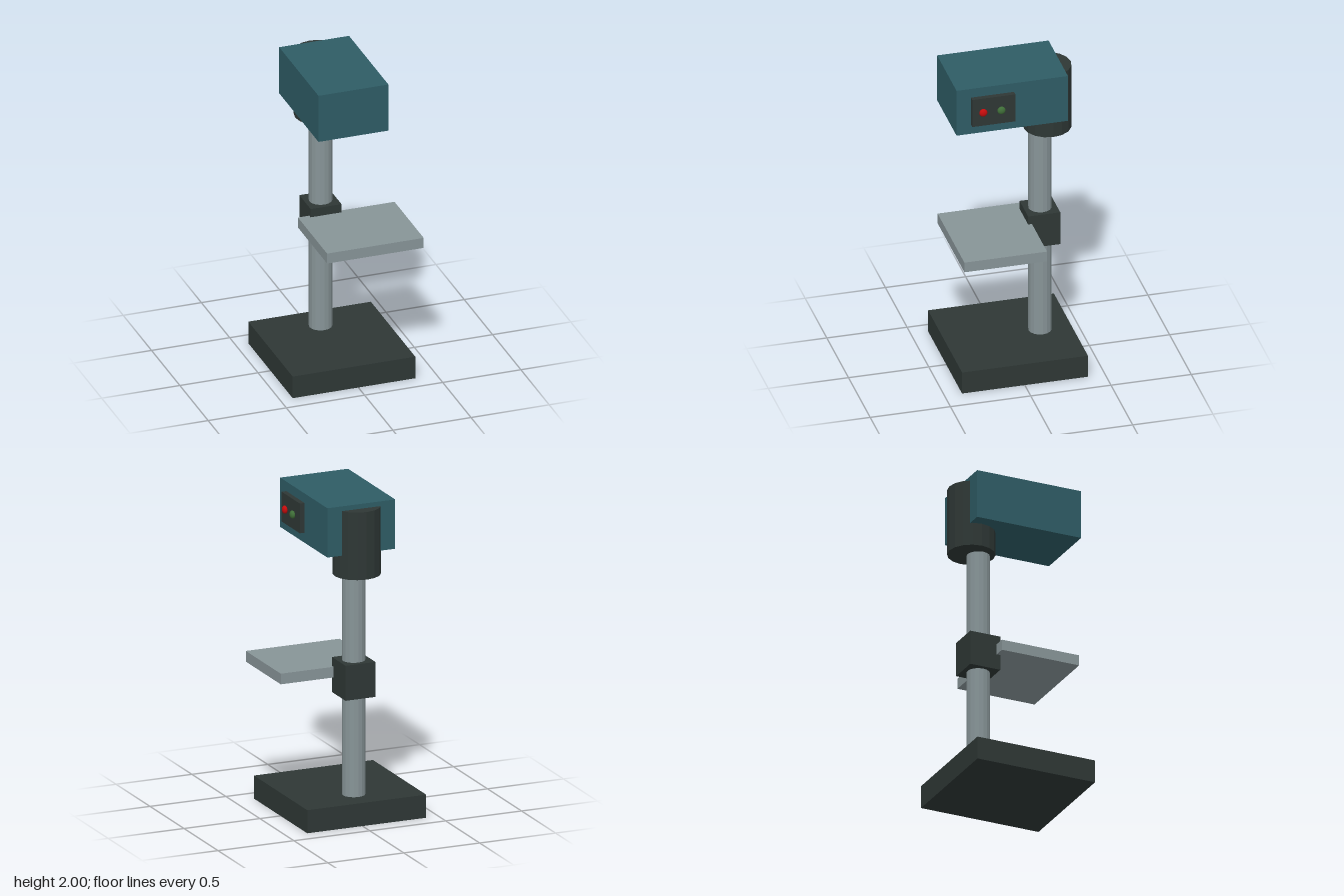
import * as THREE from 'three';

const material = (name, color, flatShading = false) => {
  const m = new THREE.MeshStandardMaterial({ color, flatShading });
  m.name = name;
  return m;
};

export function createModel() {
  const model = new THREE.Group();
  model.name = 'drillPress';

  const darkIron = material('dark iron', 0x2e3735, true);
  const teal = material('teal paint', 0x2e5c65);
  const steel = material('steel', 0x879497, true);
  const red = material('red', 0xc40c0c);
  const green = material('green', 0x3f6e38);

  const add = (name, geometry, mat) => {
    const mesh = new THREE.Mesh(geometry, mat);
    mesh.name = name;
    model.add(mesh);
    return mesh;
  };

  // Box given by its limits on each axis
  const box = (name, mat, [x0, x1], [y0, y1], [z0, z1]) =>
    add(name, new THREE.BoxGeometry(x1 - x0, y1 - y0, z1 - z0), mat)
      .position.set((x0 + x1) / 2, (y0 + y1) / 2, (z0 + z1) / 2);

  // Upright cylinder between two heights
  const post = (name, mat, r, x, z, [y0, y1]) =>
    add(name, new THREE.CylinderGeometry(r, r, y1 - y0, 16), mat)
      .position.set(x, (y0 + y1) / 2, z);

  // Foot and column
  box('base', darkIron, [-0.42, 0.364], [0, 0.145], [-0.393, 0.391]);
  post('column', steel, 0.071, -0.028, -0.2, [0.14, 1.6]);

  // Work table, offset to one side, and its clamp
  box('tableClamp', darkIron, [-0.127, 0.07], [0.77, 0.99], [-0.3, -0.1]);
  box('workTable', steel, [-0.2, 0.418], [0.868, 0.935], [-0.124, 0.391]);

  // Head and the collar that carries it
  post('headCollar', darkIron, 0.146, -0.028, -0.246, [1.545, 1.97]);
  box('head', teal, [-0.251, 0.196], [1.69, 2], [-0.314, 0.38]);

  // Control panel with two domed buttons
  box('controlPanel', darkIron, [0.19, 0.227], [1.753, 1.94], [0.022, 0.29]);
  for (const [name, mat, z] of [['stopButton', red, 0.224], ['startButton', green, 0.111]]) {
    const button = add(name, new THREE.SphereGeometry(0.025, 20, 14), mat);
    button.scale.x = 0.64;
    button.position.set(0.236, 1.847, z);
  }

  return model;
}
